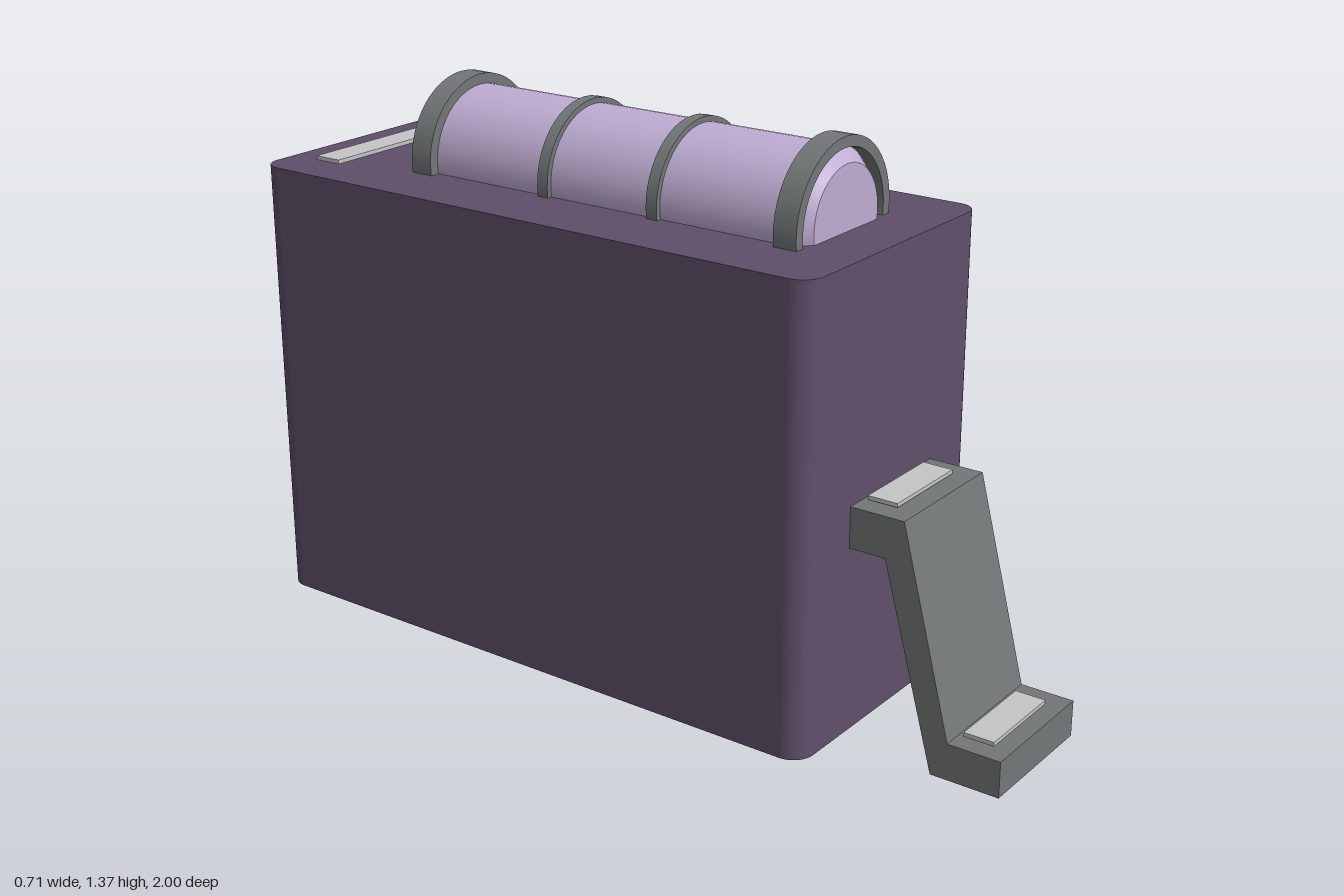
import * as THREE from 'three';

export function createModel() {
  const model = new THREE.Group();
  model.name = 'model';

  const mat = (name, color) => {
    const m = new THREE.MeshStandardMaterial({ color });
    m.name = name;
    return m;
  };
  const purple = mat('dark purple', 0x5f4f6b);
  const lavender = mat('lavender', 0xbfadd3);
  const grey = mat('grey', 0x737778);
  const pale = mat('pale grey', 0xc6c6c6);

  const add = (name, geometry, material, x = 0, y = 0, z = 0) => {
    const mesh = new THREE.Mesh(geometry, material);
    mesh.name = name;
    mesh.position.set(x, y, z);
    model.add(mesh);
    return mesh;
  };

  // Housing: rounded rectangle footprint extruded upwards
  const w = 0.355, d = 0.8, r = 0.055;
  const footprint = new THREE.Shape();
  footprint.absarc(w - r, d - r, r, 0, Math.PI / 2);
  footprint.absarc(-w + r, d - r, r, Math.PI / 2, Math.PI);
  footprint.absarc(-w + r, -d + r, r, Math.PI, Math.PI * 1.5);
  footprint.absarc(w - r, -d + r, r, Math.PI * 1.5, Math.PI * 2);
  const housing = new THREE.ExtrudeGeometry(footprint, { depth: 1.12, bevelEnabled: false, curveSegments: 8 });
  // Smooth the wall normals around the rounded corners
  const pos = housing.attributes.position, nor = housing.attributes.normal;
  for (let i = 0; i < pos.count; i++) {
    if (Math.abs(nor.getZ(i)) > 0.5) continue;
    const px = pos.getX(i), py = pos.getY(i);
    const nx = px - THREE.MathUtils.clamp(px, -w + r, w - r);
    const ny = py - THREE.MathUtils.clamp(py, -d + r, d - r);
    const l = Math.hypot(nx, ny) || 1;
    nor.setXYZ(i, nx / l, ny / l, 0);
  }
  housing.rotateX(-Math.PI / 2);
  add('housing', housing, purple, 0, 0.03, -0.2);

  // Roller lying along z, half sunk into the housing top
  const axisY = 1.175, midZ = -0.098, half = 0.52;
  const tube = new THREE.CylinderGeometry(0.165, 0.165, half * 2, 48, 1, true).rotateX(Math.PI / 2);
  add('roller', tube, lavender, 0, axisY, midZ);
  for (const side of [1, -1]) {
    const cap = new THREE.CylinderGeometry(0.13, 0.165, 0.04, 48).rotateX(side * Math.PI / 2);
    add(side > 0 ? 'rollerFrontCap' : 'rollerBackCap', cap, lavender, 0, axisY, midZ + side * (half + 0.02));
  }

  // Rings around the roller, as square-section lathes
  const ring = (name, outer, width, z) => {
    const h = width / 2, inner = 0.164;
    const wall = new THREE.CylinderGeometry(outer, outer, width, 48, 1, true).rotateX(Math.PI / 2);
    add(name, wall, grey, 0, axisY, z);
    const bore = new THREE.CylinderGeometry(inner, inner, width, 48, 1, true).rotateX(Math.PI / 2);
    bore.index.array.reverse();
    const n = bore.attributes.normal.array;
    for (let i = 0; i < n.length; i++) n[i] = -n[i];
    add(name + 'Bore', bore, grey, 0, axisY, z);
    const face = new THREE.RingGeometry(inner, outer, 48);
    add(name + 'Front', face, grey, 0, axisY, z + h);
    add(name + 'Back', face, grey, 0, axisY, z - h).rotation.y = Math.PI;
  };
  ring('frontRing', 0.19, 0.06, 0.426);
  ring('backRing', 0.19, 0.06, -0.622);
  ring('frontBand', 0.178, 0.03, 0.06);
  ring('backBand', 0.178, 0.03, -0.255);

  // Bent step bracket, side profile in (z, y) extruded across x
  const step = new THREE.Shape([
    [1, 0], [1, 0.09], [0.867, 0.09], [0.737, 0.59],
    [0.59, 0.59], [0.59, 0.49], [0.692, 0.49], [0.827, 0]
  ].map(([z, y]) => new THREE.Vector2(-z, y)));
  const bracket = new THREE.ExtrudeGeometry(step, { depth: 0.344, bevelEnabled: false });
  bracket.translate(0, 0, -0.172).rotateY(Math.PI / 2);
  add('stepBracket', bracket, grey);

  // Pale strips on the step and the housing top
  const strip = (name, width, depth, y, z) =>
    add(name, new THREE.BoxGeometry(width, 0.0098, depth), pale, 0, y + 0.0049, z);
  strip('upperStepStrip', 0.24, 0.076, 0.592, 0.65);
  strip('lowerStepStrip', 0.24, 0.076, 0.09, 0.917);
  strip('topStrip', 0.48, 0.074, 1.15, -0.887);

  return model;
}
